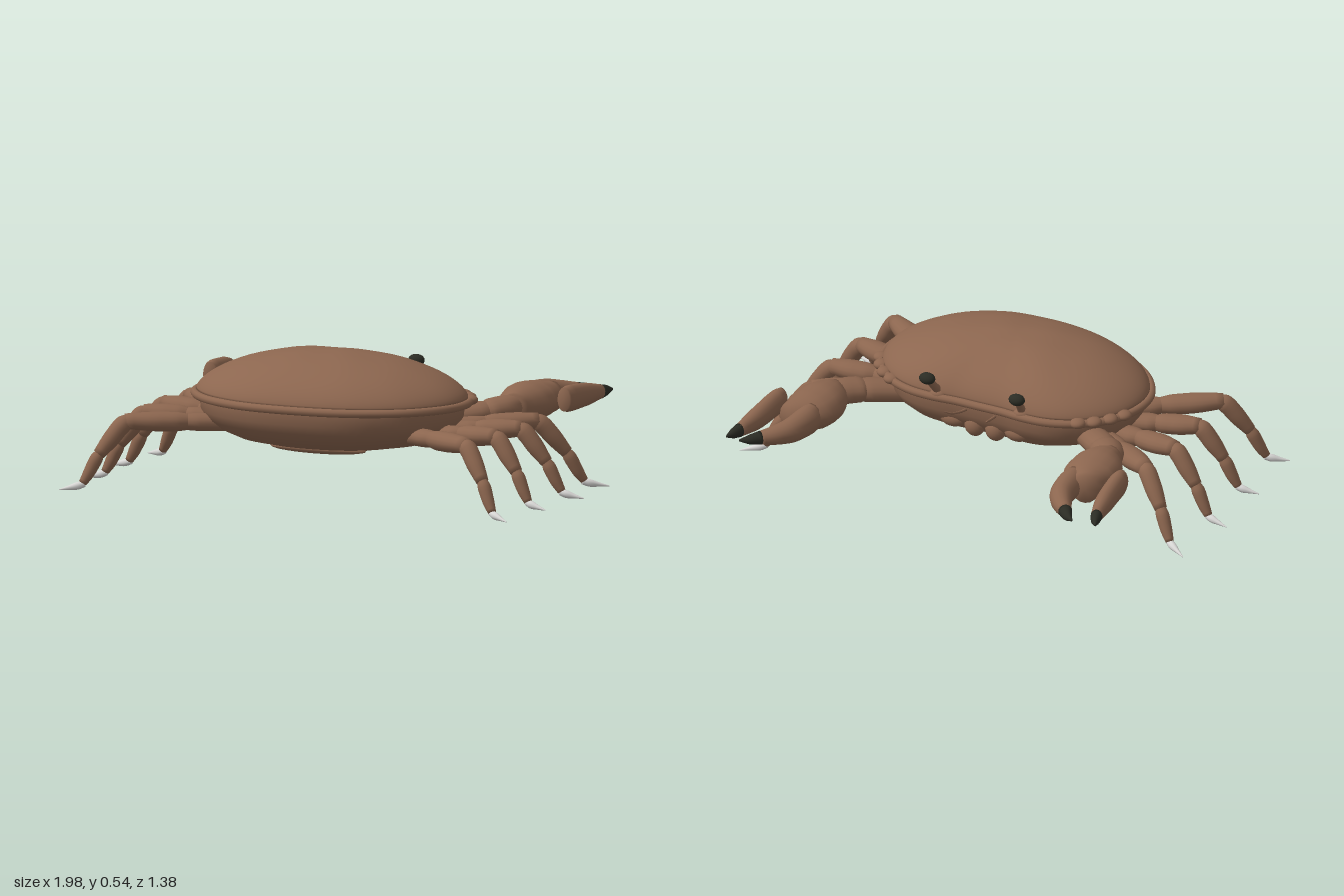
import * as THREE from 'three';

const shellMat = new THREE.MeshStandardMaterial({ color: 0x8c664f });
shellMat.name = 'brown shell';
const darkMat = new THREE.MeshStandardMaterial({ color: 0x2b2c24 });
darkMat.name = 'dark tip';
const paleMat = new THREE.MeshStandardMaterial({ color: 0xd9d8d6 });
paleMat.name = 'pale toe';

// Joins equal-length rings of points into a closed smooth skin with capped ends.
function skin(rings) {
  const n = rings[0].length, pos = [], idx = [];
  rings.forEach(r => r.forEach(p => pos.push(p.x, p.y, p.z)));
  for (let i = 0; i < rings.length - 1; i++)
    for (let j = 0; j < n; j++) {
      const a = i * n + j, b = i * n + (j + 1) % n;
      idx.push(a, b, b + n, a, b + n, a + n);
    }
  [0, rings.length - 1].forEach((k, end) => {
    const c = rings[k].reduce((s, p) => s.add(p), new THREE.Vector3()).divideScalar(n);
    const ci = pos.length / 3;
    pos.push(c.x, c.y, c.z);
    for (let j = 0; j < n; j++) {
      const a = k * n + j, b = k * n + (j + 1) % n;
      if (end) idx.push(ci, a, b); else idx.push(ci, b, a);
    }
  });
  const g = new THREE.BufferGeometry();
  g.setAttribute('position', new THREE.Float32BufferAttribute(pos, 3));
  g.setIndex(idx);
  g.computeVertexNormals();
  return g;
}

// Sweeps an oval along stations [x, y, z, halfWidth, halfHeight].
function sweep(stations, side = 1, sides = 16) {
  const path = new THREE.CatmullRomCurve3(stations.map(s => new THREE.Vector3(s[0] * side, s[1], s[2])));
  const size = new THREE.CatmullRomCurve3(stations.map(s => new THREE.Vector3(s[3], s[4], 0)));
  const steps = (stations.length - 1) * 4, rings = [];
  for (let i = 0; i <= steps; i++) {
    const p = path.getPoint(i / steps), r = size.getPoint(i / steps), t = path.getTangent(i / steps);
    const across = new THREE.Vector3(0, 1, 0).cross(t).normalize();
    const up = t.clone().cross(across);
    rings.push(Array.from({ length: sides }, (_, j) => {
      const a = j / sides * Math.PI * 2;
      return p.clone().addScaledVector(across, Math.max(r.x, 0.001) * Math.cos(a))
        .addScaledVector(up, Math.max(r.y, 0.001) * Math.sin(a));
    }));
  }
  return skin(rings);
}

// Shell outline in plan, right half mirrored to the left.
const half = [[0.1, -0.1], [0.2, -0.108], [0.3, -0.1], [0.39, -0.065], [0.48, 0.01], [0.535, 0.1],
  [0.555, 0.2], [0.54, 0.3], [0.475, 0.41], [0.38, 0.495], [0.22, 0.565]];
const outlinePts = [[0, -0.1], ...half, [0, 0.588], ...half.map(p => [-p[0], p[1]]).reverse()];
const outline = new THREE.CatmullRomCurve3(outlinePts.map(p => new THREE.Vector3(p[0], 0, p[1])), true);
const MID = 0.22;
const ring = (scale, yOf) => outline.getPoints(96).slice(0, 96).map(p => {
  const q = new THREE.Vector3(p.x * scale, 0, MID + (p.z - MID) * scale);
  q.y = typeof yOf === 'number' ? yOf : yOf(q);
  return q;
});

export function createModel() {
  const crab = new THREE.Group();
  crab.name = 'crab';
  const add = (name, geo, mat = shellMat, parent = crab) => {
    const m = new THREE.Mesh(geo, mat);
    m.name = name;
    parent.add(m);
    return m;
  };
  const ball = (name, x, y, z, rx, ry, rz, mat, parent) => {
    const m = add(name, new THREE.SphereGeometry(1, 20, 14), mat, parent);
    m.position.set(x, y, z);
    m.scale.set(rx, ry, rz);
    return m;
  };

  // Domed carapace with faint ripples
  const dome = [];
  for (let i = 1; i <= 20; i++) {
    const r = Math.sin(i / 20 * Math.PI / 2);
    const h = 0.172 * Math.pow(Math.max(0, 1 - r * r), 0.64);
    dome.push(ring(r * 0.98, q => 0.371 + h + 0.0025 * Math.sin(q.x * 22 + q.z * 14) * Math.sin(q.z * 24 - q.x * 8) * (1 - r)));
  }
  dome.push(ring(0.955, 0.36));
  add('carapace', skin(dome));

  // Rounded rim around the carapace
  const rimPath = new THREE.CatmullRomCurve3(ring(0.99, 0.356), true);
  add('rim', new THREE.TubeGeometry(rimPath, 160, 0.016, 10, true));

  // Bowl-shaped underside
  const bowl = [[0.95, 0.36], [0.955, 0.335], [0.945, 0.295], [0.9, 0.26], [0.81, 0.225], [0.68, 0.197],
    [0.5, 0.18], [0.3, 0.172], [0.08, 0.17]];
  add('underside', skin(bowl.map(([s, y]) => ring(s, y))));

  // Overlapping abdomen plates
  [0.2, 0.19, 0.165, 0.135, 0.095].forEach((w, i) =>
    ball('abdomenPlate', 0, 0.174, 0.34 - i * 0.042, w, 0.02, 0.038));

  for (const s of [1, -1]) {
    // Scalloped teeth on the front corners
    [[0.405, -0.05], [0.455, -0.012], [0.497, 0.04], [0.527, 0.095]].forEach(([x, z]) =>
      ball('rimTooth', s * x, 0.36, z, 0.032, 0.02, 0.032));

    // Eye, stalk and socket
    ball('eye', s * 0.195, 0.455, -0.153, 0.033, 0.023, 0.026, darkMat);
    add('eyeStalk', sweep([[0.18, 0.36, -0.07, 0.022, 0.022], [0.187, 0.405, -0.11, 0.015, 0.015],
      [0.194, 0.445, -0.145, 0.014, 0.014]], s));
    ball('eyeSocket', s * 0.182, 0.365, -0.088, 0.035, 0.022, 0.028);

    // Antenna and mouth parts
    add('antenna', sweep([[0.062, 0.32, -0.07, 0.006, 0.006], [0.068, 0.33, -0.13, 0.005, 0.005],
      [0.078, 0.345, -0.18, 0.004, 0.004], [0.094, 0.36, -0.205, 0.002, 0.002]], s, 8));
    ball('mouthPart', s * 0.045, 0.245, -0.045, 0.042, 0.045, 0.035);
    ball('cheek', s * 0.14, 0.255, -0.045, 0.055, 0.035, 0.035);

    // Claw arm
    const claw = new THREE.Group();
    claw.name = 'claw';
    crab.add(claw);
    add('upperArm', sweep([[0.33, 0.26, 0.1, 0.04, 0.035], [0.42, 0.272, 0.03, 0.06, 0.045],
      [0.5, 0.285, -0.04, 0.062, 0.046], [0.545, 0.29, -0.08, 0.045, 0.04]], s), shellMat, claw);
    add('wrist', sweep([[0.51, 0.288, -0.04, 0.03, 0.03], [0.54, 0.292, -0.075, 0.065, 0.048],
      [0.575, 0.297, -0.12, 0.062, 0.05], [0.605, 0.3, -0.175, 0.045, 0.045]], s), shellMat, claw);
    add('palm', sweep([[0.605, 0.3, -0.14, 0.045, 0.05], [0.6, 0.3, -0.2, 0.083, 0.071],
      [0.603, 0.301, -0.27, 0.105, 0.079], [0.61, 0.302, -0.34, 0.104, 0.074],
      [0.645, 0.302, -0.435, 0.052, 0.058]], s), shellMat, claw);

    // Pincers with dark tips; the two claws open by different amounts
    const open = s > 0 ? 0 : 1;
    add('outerFinger', sweep([[0.74, 0.312, -0.315, 0.027, 0.046], [0.745, 0.311, -0.36, 0.036, 0.052],
      [0.75 + 0.015 * open, 0.305, -0.5, 0.036, 0.045], [0.765 + 0.025 * open, 0.3, -0.615, 0.022, 0.027]], s), shellMat, claw);
    add('outerTip', sweep([[0.765 + 0.025 * open, 0.3, -0.612, 0.023, 0.028],
      [0.773 + 0.032 * open, 0.3, -0.65, 0.017, 0.02], [0.783 + 0.04 * open, 0.3, -0.685, 0.003, 0.004]], s), darkMat, claw);
    add('innerFinger', sweep([[0.575, 0.303, -0.385, 0.045, 0.058], [0.575, 0.303, -0.43, 0.05, 0.058],
      [0.588, 0.302, -0.52, 0.046, 0.05], [0.625, 0.3, -0.585, 0.038, 0.038], [0.665, 0.3, -0.632, 0.026, 0.026]], s), shellMat, claw);
    add('innerTip', sweep([[0.663, 0.3, -0.63, 0.027, 0.027], [0.692, 0.3, -0.665, 0.019, 0.019],
      [0.724, 0.3, -0.69, 0.003, 0.004]], s), darkMat, claw);

    // Four walking legs: hip, knee and tip in plan [x, z]
    [[[0.5, 0.05], [0.725, -0.095], [0.965, -0.24]], [[0.52, 0.145], [0.745, 0.105], [0.99, 0.065]],
      [[0.52, 0.27], [0.735, 0.32], [0.965, 0.375]], [[0.45, 0.38], [0.71, 0.55], [0.935, 0.683]]]
      .forEach(([hip, knee, tip], i) => {
        const leg = new THREE.Group();
        leg.name = 'leg' + (i + 1);
        crab.add(leg);
        const mix = (a, b, f, y, w, h) => [a[0] + (b[0] - a[0]) * f, y, a[1] + (b[1] - a[1]) * f, w, h];
        const thigh = (f, w, h) => mix(hip, knee, f, 0.252 + 0.012 * f, w, h);
        const shin = (f, y, r) => mix(knee, tip, f, y, r, r);
        add('hip', sweep([thigh(-0.5, 0.03, 0.025), thigh(-0.2, 0.042, 0.035), thigh(0.1, 0.045, 0.035),
          thigh(0.3, 0.03, 0.03)], s), shellMat, leg);
        add('thigh', sweep([thigh(0.2, 0.03, 0.03), thigh(0.4, 0.047, 0.038), thigh(0.65, 0.05, 0.038),
          thigh(1.02, 0.032, 0.03)], s), shellMat, leg);
        add('upperShin', sweep([shin(-0.05, 0.267, 0.026), shin(0.06, 0.25, 0.035), shin(0.22, 0.2, 0.034),
          shin(0.41, 0.138, 0.024)], s), shellMat, leg);
        add('lowerShin', sweep([shin(0.39, 0.145, 0.018), shin(0.46, 0.115, 0.026), shin(0.56, 0.065, 0.023),
          shin(0.65, 0.027, 0.016)], s), shellMat, leg);
        add('toe', sweep([shin(0.62, 0.024, 0.012), shin(0.72, 0.017, 0.015), shin(0.85, 0.01, 0.009),
          shin(1, 0.003, 0.002)], s, 10), paleMat, leg);
      });
  }
  return crab;
}
